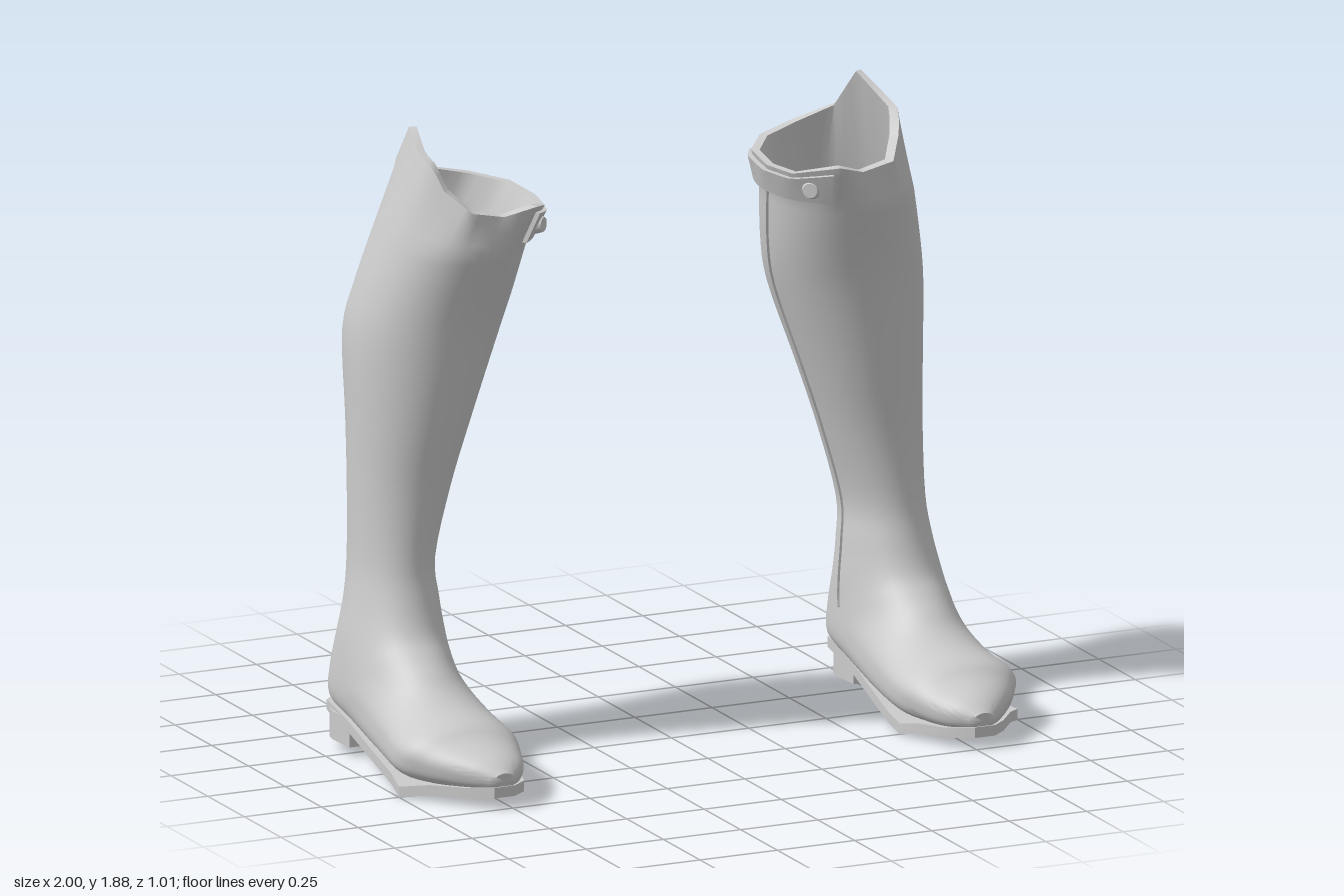
import * as THREE from 'three';
import { toCreasedNormals } from 'three/addons/utils/BufferGeometryUtils.js';

const SEG = 48, RAD = Math.PI / 180;
const material = new THREE.MeshStandardMaterial({ color: 0xcccccc, side: THREE.DoubleSide });

// Boot sections, top to toe: front z, front y, back z, back y, inner x, outer x, squareness of lower half
const ROWS = [
  [0.08, 1.56, -0.465, 1.56, 0.41, 0.84, 1],
  [0.02, 1.4, -0.49, 1.4, 0.43, 0.885, 1],
  [-0.02, 1.25, -0.508, 1.25, 0.465, 0.912, 1],
  [-0.06, 1.0, -0.452, 1.0, 0.55, 0.912, 1],
  [-0.085, 0.8, -0.417, 0.8, 0.615, 0.912, 1],
  [-0.085, 0.6, -0.4, 0.58, 0.67, 0.915, 1],
  [-0.06, 0.49, -0.402, 0.45, 0.665, 0.93, 1],
  [-0.02, 0.4, -0.43, 0.33, 0.655, 0.95, 1],
  [0.03, 0.35, -0.455, 0.22, 0.65, 0.96, 0.9],
  [0.08, 0.31, -0.43, 0.13, 0.645, 0.965, 0.75],
  [0.13, 0.27, -0.24, 0.1, 0.64, 0.965, 0.6],
  [0.2, 0.235, 0.0, 0.06, 0.63, 0.975, 0.55],
  [0.3, 0.21, 0.19, 0.04, 0.625, 0.99, 0.55],
  [0.355, 0.18, 0.31, 0.04, 0.645, 0.95, 0.6],
  [0.45, 0.145, 0.42, 0.045, 0.685, 0.87, 0.65],
  [0.5, 0.11, 0.49, 0.06, 0.74, 0.81, 0.8],
];
const LAST = ROWS.length - 1;

// Uneven top edge: angle from the front towards the outside, then x, y, z
const RIM = [
  [0, 0.58, 1.67, 0.085], [30, 0.68, 1.69, 0.08], [60, 0.735, 1.745, 0], [72, 0.755, 1.81, -0.04],
  [95, 0.755, 1.83, -0.13], [120, 0.73, 1.88, -0.25], [150, 0.71, 1.75, -0.38], [180, 0.59, 1.7, -0.43],
  [210, 0.47, 1.68, -0.39], [240, 0.39, 1.67, -0.28], [270, 0.375, 1.66, -0.14], [300, 0.40, 1.66, -0.02],
  [330, 0.49, 1.7, 0.12], [360, 0.58, 1.67, 0.085],
];

function rim(a) {
  const d = (((a / RAD) % 360) + 360) % 360;
  const i = Math.max(1, RIM.findIndex((p) => p[0] >= d));
  const [p, q] = [RIM[i - 1], RIM[i]];
  const t = (d - p[0]) / (q[0] - p[0]);
  return new THREE.Vector3(...[1, 2, 3].map((k) => THREE.MathUtils.lerp(p[k], q[k], t)));
}

// Smooth interpolation of the section table
function row(s) {
  s = THREE.MathUtils.clamp(s, 0, LAST);
  const i = Math.min(Math.floor(s), LAST - 1), t = s - i;
  const [a, b, c, d] = [-1, 0, 1, 2].map((k) => ROWS[THREE.MathUtils.clamp(i + k, 0, LAST)]);
  return b.map((v, k) => v + 0.5 * t * (c[k] - a[k]
    + t * (2 * a[k] - 5 * v + 4 * c[k] - d[k] + t * (3 * (v - c[k]) + d[k] - a[k]))));
}

function centre(s) {
  if (s <= -1) return new THREE.Vector3(0.57, 1.7, -0.17);
  const r = row(s);
  return new THREE.Vector3((r[4] + r[5]) / 2, (r[1] + r[3]) / 2, (r[0] + r[2]) / 2);
}

// Point on the boot: s = -1 at the rim, 0..LAST along the sections
function surface(s, a) {
  const r = row(s), q = Math.cos(a) < 0 ? r[6] : 1;
  const bend = (v) => Math.sign(v) * Math.abs(v) ** q;
  const c = bend(Math.cos(a)), n = bend(Math.sin(a));
  const p = centre(Math.max(s, 0));
  p.x += n * (r[5] - r[4]) / 2;
  p.y += c * (r[1] - r[3]) / 2;
  p.z += c * (r[0] - r[2]) / 2;
  return s < 0 ? p.lerp(rim(a), -s) : p;
}

// Surface offset outwards from the section centre
function raised(s, a, t) {
  const p = surface(s, a), d = p.clone().sub(centre(Math.max(s, 0)));
  d.y = 0;
  return p.addScaledVector(d.normalize(), t);
}

// Skin a list of closed rings of points
function loft(rings, crease = 0.9) {
  const n = rings[0].length, index = [];
  for (let i = 0; i < rings.length - 1; i++) for (let j = 0; j < n; j++) {
    const a = i * n + j, b = i * n + (j + 1) % n;
    index.push(a, a + n, b, b, a + n, b + n);
  }
  const g = new THREE.BufferGeometry().setFromPoints(rings.flat());
  g.setIndex(index);
  return toCreasedNormals(g, crease);
}

const ringOf = (fn) => Array.from({ length: SEG }, (_, j) => fn(j / SEG * Math.PI * 2));

// Lining up to the rim, then the outside down to the toe
function upper() {
  const rings = [], floor = 9.5;
  const lining = (s, k) => ringOf((a) => {
    const c = centre(s), p = surface(s, a);
    if (s < 0) c.y = p.y;
    return p.lerp(c, k);
  });
  rings.push(lining(floor, 1));
  for (let s = floor; s >= 0; s -= 0.5) rings.push(lining(s, 0.15));
  rings.push(lining(-1, 0.12));
  for (let s = -1; s < 0; s += 0.25) rings.push(ringOf((a) => surface(s, a)));
  for (let s = 0; s <= LAST; s += 0.25) rings.push(ringOf((a) => surface(s, a)));
  rings.push(ringOf(() => centre(LAST)));
  return loft(rings);
}

// Raised strip lying on the surface between two angles and two sections
function strip(a0, a1, s0, s1, t, steps, across) {
  const rings = [];
  for (let i = -1; i <= steps + 1; i++) {
    const u = THREE.MathUtils.clamp(i / steps, 0, 1), s = s0 + (s1 - s0) * u;
    const out = i < 0 || i > steps ? -0.006 : t, ring = [];
    for (let j = 0; j <= across; j++) ring.push(raised(s, (a0 + (a1 - a0) * j / across) * RAD, out));
    for (let j = across; j >= 0; j--) ring.push(raised(s, (a0 + (a1 - a0) * j / across) * RAD, -0.006));
    rings.push(ring);
  }
  return loft(rings, 0.6);
}

// Sole stations: z, inner x, outer x, underside y
function sole() {
  const st = [
    [-0.435, 0.75, 0.87, 0.105], [-0.39, 0.69, 0.93, 0.1], [-0.2, 0.67, 0.95, 0.082], [0, 0.655, 0.955, 0.03],
    [0.15, 0.63, 0.975, 0.012], [0.25, 0.62, 1, 0.002], [0.33, 0.645, 0.94, 0.02], [0.43, 0.68, 0.87, 0.028],
    [0.5, 0.745, 0.81, 0.038],
  ];
  const g = new THREE.BoxGeometry(1, 1, 1, 1, 1, st.length - 1), p = g.attributes.position;
  for (let i = 0; i < p.count; i++) {
    const [z, xi, xo, y] = st[Math.round((p.getZ(i) + 0.5) * (st.length - 1))];
    p.setXYZ(i, p.getX(i) < 0 ? xi : xo, y + (p.getY(i) < 0 ? 0 : 0.032), z);
  }
  return toCreasedNormals(g, 0.6);
}

// Heel block with a rounded back
function heel() {
  const s = new THREE.Shape();
  s.moveTo(0.69, 0.215);
  s.lineTo(0.94, 0.215);
  s.lineTo(0.945, 0.32);
  s.bezierCurveTo(0.94, 0.455, 0.69, 0.455, 0.685, 0.32);
  const g = new THREE.ExtrudeGeometry(s, { depth: 0.085, bevelEnabled: false, curveSegments: 12 });
  return toCreasedNormals(g.rotateX(-Math.PI / 2).translate(0, 0.03, 0), 0.6);
}

// Flat round button on the strap
function button() {
  const a = 312 * RAD, p = raised(-0.5, a, 0.02);
  const d = p.clone().sub(surface(-0.5, a)).normalize();
  const g = new THREE.CylinderGeometry(0.022, 0.03, 0.022, 16);
  g.applyQuaternion(new THREE.Quaternion().setFromUnitVectors(new THREE.Vector3(0, 1, 0), d));
  return g.translate(p.x, p.y, p.z);
}

// Mirror in x, keeping faces outward
function mirrored(geometry) {
  const g = geometry.index ? geometry.toNonIndexed() : geometry.clone();
  g.scale(-1, 1, 1);
  const index = [];
  for (let i = 0; i < g.attributes.position.count; i += 3) index.push(i, i + 2, i + 1);
  g.setIndex(index);
  return g;
}

export function createModel() {
  const parts = {
    upper: upper(),
    sole: sole(),
    heel: heel(),
    strap: strip(228, 326, -0.85, -0.1, 0.016, 4, 14),
    button: button(),
    sideSeam: strip(254, 268, -0.1, 8.2, 0.007, 36, 3),
  };
  const model = new THREE.Group();
  model.name = 'bootPair';
  for (const side of ['left', 'right']) {
    const boot = new THREE.Group();
    boot.name = side + 'Boot';
    for (const [name, g] of Object.entries(parts)) {
      const mesh = new THREE.Mesh(side === 'left' ? g : mirrored(g), material);
      mesh.name = name;
      boot.add(mesh);
    }
    model.add(boot);
  }
  return model;
}
